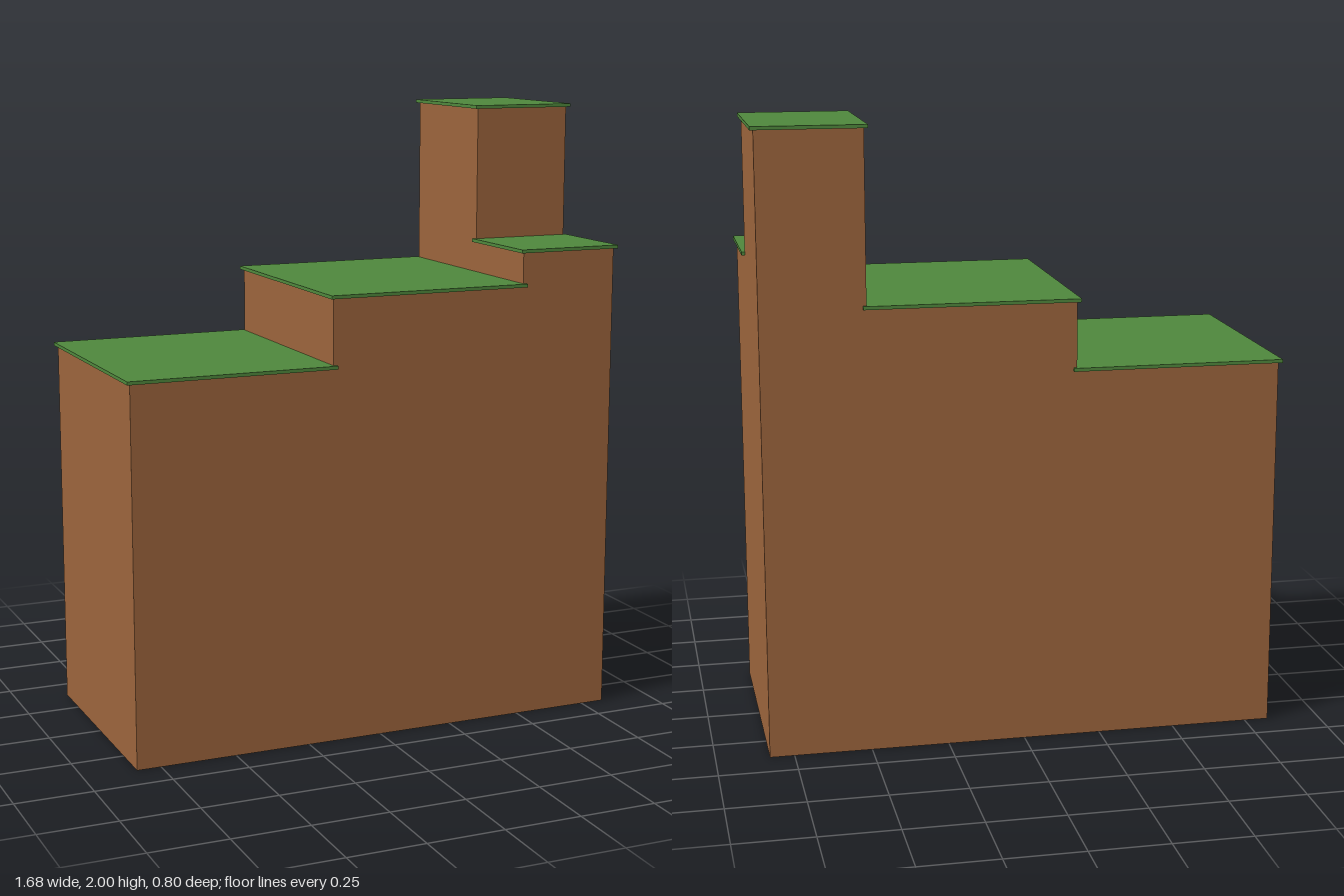
import * as THREE from 'three';

const U = 2 / 18.1;        // one grid unit
const SLAB = 0.1 * U;      // grass thickness and overhang

// Terraces in grid units: x range, z range, soil height
const TERRACES = [
  { name: 'lowTerrace', x: [-7.5, -1.5], z: [-3.5, 3.5], h: 11 },
  { name: 'middleTerrace', x: [-1.5, 4.5], z: [-3.5, 3.5], h: 13 },
  { name: 'frontLedge', x: [4.5, 7.5], z: [0.5, 3.5], h: 14 },
  { name: 'tower', x: [4.5, 7.5], z: [-3.5, 0.5], h: 18 },
];

export function createModel() {
  const model = new THREE.Group();
  model.name = 'steppedCliff';
  const soilMat = new THREE.MeshStandardMaterial({ color: 0x9b643c });
  const grassMat = new THREE.MeshStandardMaterial({ color: 0x4f873c });

  for (const { name, x, z, h } of TERRACES) {
    const w = (x[1] - x[0]) * U, d = (z[1] - z[0]) * U, height = h * U;
    const terrace = new THREE.Group();
    terrace.name = name;
    terrace.position.set((x[0] + x[1]) / 2 * U, 0, (z[0] + z[1]) / 2 * U);

    // Soil column
    const soil = new THREE.Mesh(new THREE.BoxGeometry(w, height, d), soilMat);
    soil.name = 'soil';
    soil.position.y = height / 2;

    // Thin grass slab, slightly overhanging the soil
    const grass = new THREE.Mesh(new THREE.BoxGeometry(w + 2 * SLAB, SLAB, d + 2 * SLAB), grassMat);
    grass.name = 'grass';
    grass.position.y = height + SLAB / 2;

    terrace.add(soil, grass);
    model.add(terrace);
  }
  return model;
}
